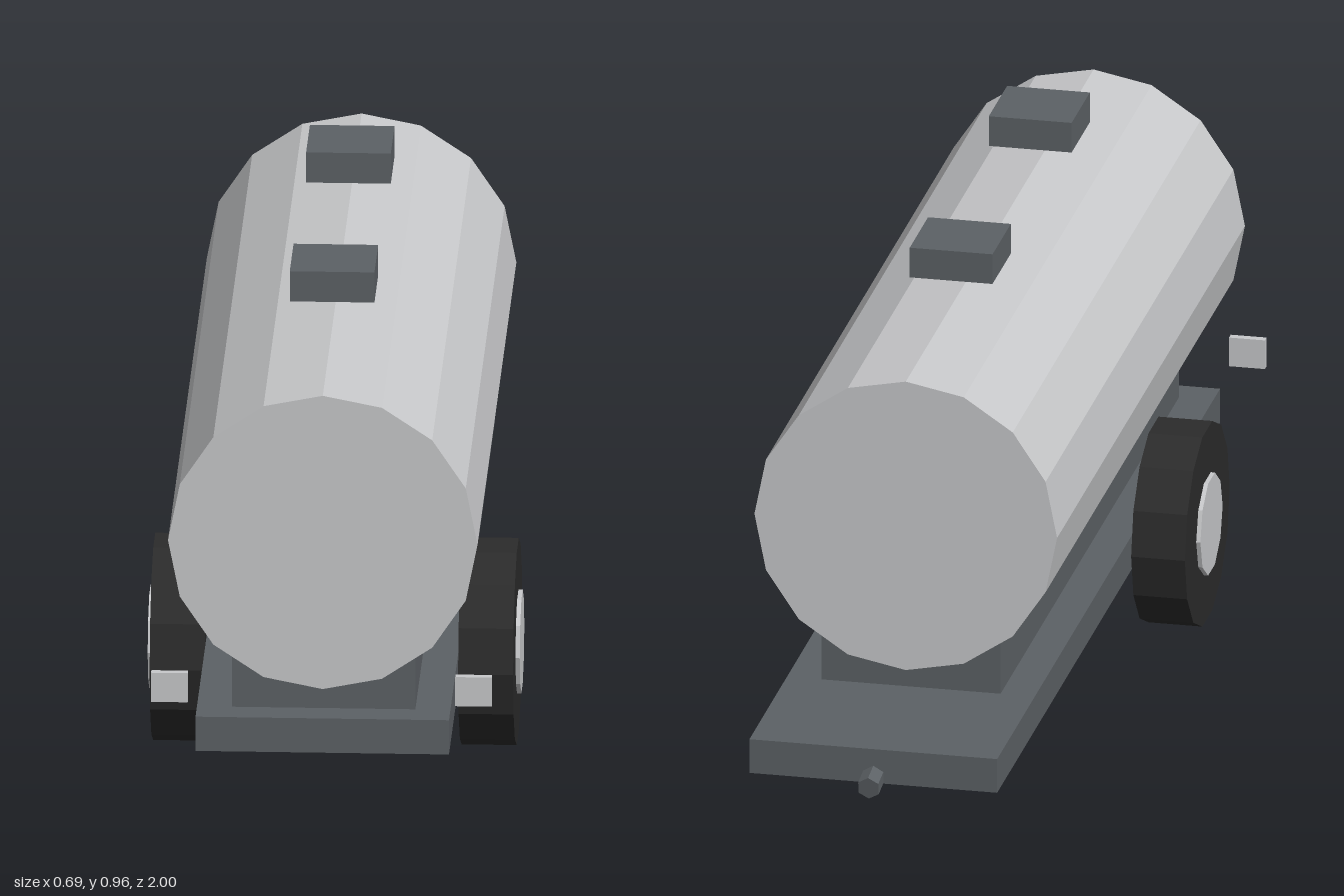
import * as THREE from 'three';

const flat = (name, color) => {
  const m = new THREE.MeshStandardMaterial({ color });
  m.name = name;
  m.flatShading = true;
  return m;
};

export function createModel() {
  const silver = flat('silver', 0xc8c9cb);
  const steel = flat('darkSteel', 0x5c6165);
  const rubber = flat('rubber', 0x2b2b2b);

  const model = new THREE.Group();
  model.name = 'tankTrailer';

  const add = (name, geometry, material, x, y, z) => {
    const mesh = new THREE.Mesh(geometry, material);
    mesh.name = name;
    mesh.position.set(x, y, z);
    model.add(mesh);
    return mesh;
  };
  // Box given by its width and its y and z extents
  const box = (name, material, x, width, y0, y1, z0, z1) =>
    add(name, new THREE.BoxGeometry(width, y1 - y0, z1 - z0), material, x, (y0 + y1) / 2, (z0 + z1) / 2);

  // Chassis and the cradle under the tank
  box('chassis', steel, 0, 0.47, 0.161, 0.228, -0.955, 0.967);
  box('tankCradle', steel, 0, 0.34, 0.228, 0.34, -0.63, 0.907);

  // Faceted tank lying along z
  const tank = new THREE.CylinderGeometry(0.287, 0.287, 1.62, 16).rotateX(Math.PI / 2);
  add('tank', tank, silver, 0, 0.565, 0.135);

  // Hatch covers above the tank
  for (const z of [0.477, -0.205]) {
    box('hatchCover', steel, 0, 0.157, 0.903, 0.962, z - 0.079, z + 0.079);
  }

  // Wheels, hubs and marker plates on both sides
  const tyre = new THREE.CylinderGeometry(0.193, 0.193, 0.102, 14).rotateZ(Math.PI / 2);
  const hub = new THREE.CylinderGeometry(0.096, 0.096, 0.11, 10).rotateZ(Math.PI / 2);
  for (const [side, s] of [['left', 1], ['right', -1]]) {
    add(side + 'Tyre', tyre, rubber, s * 0.286, 0.188, 0.393);
    add(side + 'Hub', hub, silver, s * 0.29, 0.188, 0.393);
    box(side + 'Marker', silver, s * 0.282, 0.068, 0.267, 0.324, 0.985, 1);
  }

  // Hitch bar sloping down out of the rear of the chassis
  const bar = new THREE.CylinderGeometry(0.022, 0.022, 0.2, 6).rotateX(Math.PI / 2);
  add('hitchBar', bar, steel, 0, 0.182, -0.898).rotation.x = -0.16;

  return model;
}
